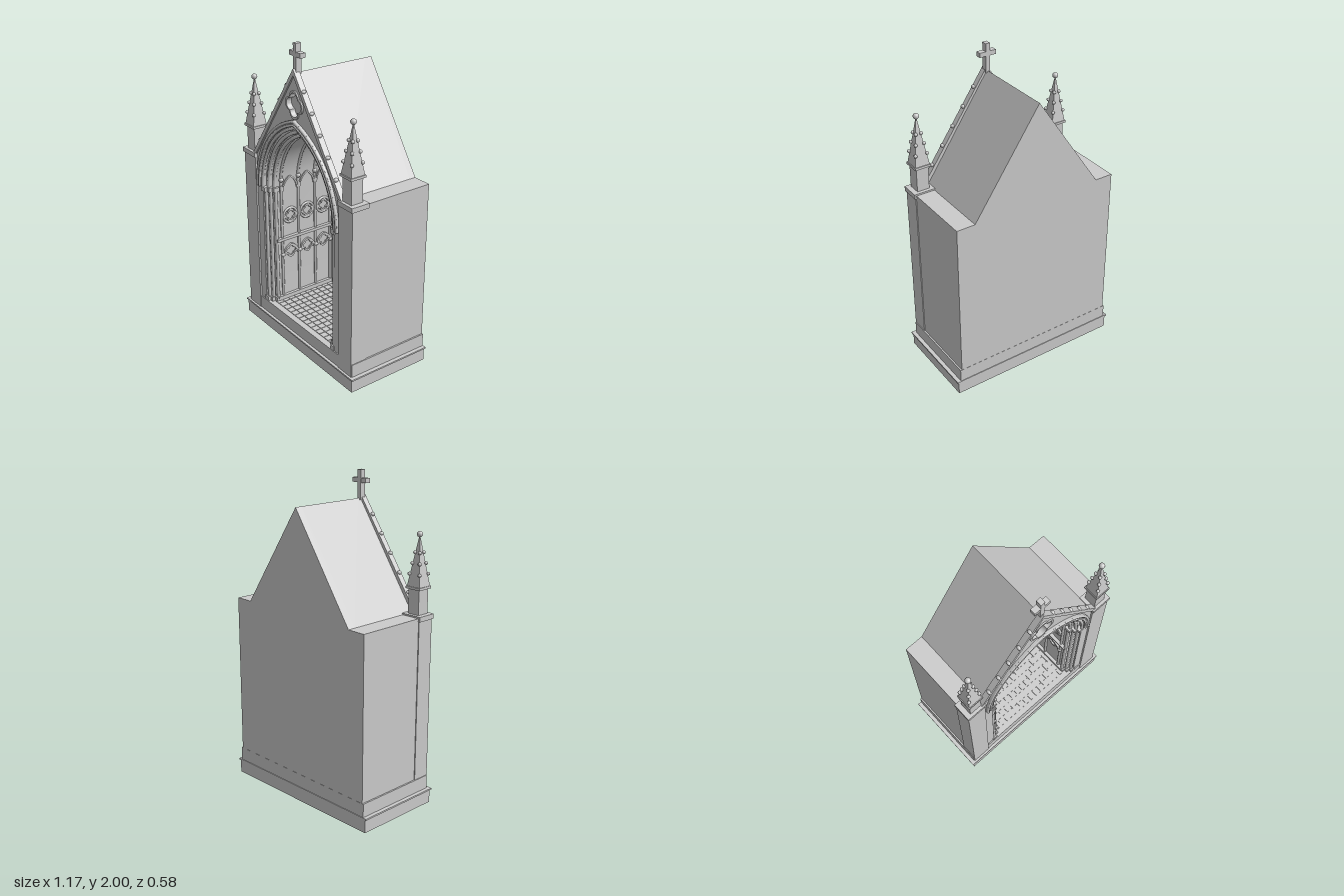
import * as THREE from 'three';
import { mergeGeometries, toCreasedNormals } from 'three/addons/utils/BufferGeometryUtils.js';

const mat = new THREE.MeshStandardMaterial({ color: 0xcccccc });
const V2 = (x, y) => new THREE.Vector2(x, y);
const SPRING = 1.0, C = 0.15, FLOOR = 0.18;

function add(parent, name, geo, x = 0, y = 0, z = 0) {
  const m = new THREE.Mesh(geo, mat);
  m.name = name;
  m.position.set(x, y, z);
  parent.add(m);
  return m;
}
// Box given by its extents
function block(parent, name, x0, x1, y0, y1, z0, z1) {
  const geo = new THREE.BoxGeometry(Math.abs(x1 - x0), y1 - y0, z1 - z0);
  return add(parent, name, geo, (x0 + x1) / 2, (y0 + y1) / 2, (z0 + z1) / 2);
}
// Flat shape (with holes) extruded between two depths
function slab(parent, name, pts, holes, z0, z1, x = 0, y = 0) {
  const shape = new THREE.Shape(pts);
  shape.holes = holes.map(h => new THREE.Path(h));
  const geo = new THREE.ExtrudeGeometry(shape, { depth: z1 - z0, bevelEnabled: false });
  return add(parent, name, toCreasedNormals(geo, 0.5), x, y, z0);
}
// Two-centred pointed arc, from the right springing over the apex to the left
function arc(a, c = C, spring = SPRING, n = 14) {
  const R = a + c, end = Math.acos(c / R), right = [];
  for (let i = 0; i <= n; i++) {
    const t = end * i / n;
    right.push(V2(-c + R * Math.cos(t), spring + R * Math.sin(t)));
  }
  return [...right, ...right.slice(0, -1).reverse().map(p => V2(-p.x, p.y))];
}
const archway = (a, y0, c, spring) => [V2(-a, y0), V2(a, y0), ...arc(a, c, spring)];
const archBand = (a0, a1, c, spring) => [...arc(a1, c, spring), ...arc(a0, c, spring).reverse()];
const rect = (x0, x1, y0, y1) => [V2(x0, y0), V2(x1, y0), V2(x1, y1), V2(x0, y1)];
const shift = (pts, x, y) => pts.map(p => V2(p.x + x, p.y + y));
// Four semicircular lobes; d is half the overall radius
function quatrefoil(d) {
  const pts = [];
  for (let k = 0; k < 4; k++) for (let i = 0; i < 12; i++) {
    const t = k * Math.PI / 2, u = t - Math.PI / 2 + Math.PI * i / 12;
    pts.push(V2(d * (Math.cos(t) + Math.cos(u)), d * (Math.sin(t) + Math.sin(u))));
  }
  return pts;
}
function roll(parent, name, a, z, r) {
  const path = new THREE.CatmullRomCurve3(arc(a).map(p => new THREE.Vector3(p.x, p.y, z)));
  add(parent, name, new THREE.TubeGeometry(path, 56, r, 8));
}
function shaft(parent, name, x, z, y0, y1, r) {
  add(parent, name, new THREE.CylinderGeometry(r, r, y1 - y0, 12), x, (y0 + y1) / 2, z);
}

function pinnacle(s) {
  const g = new THREE.Group();
  g.name = 'pinnacle';
  g.position.set(s * 0.49, 0, 0.225);
  block(g, 'pinnacleShaft', -0.04, 0.04, 1.2, 1.37, -0.04, 0.04);
  block(g, 'pinnacleCornice', -0.052, 0.052, 1.36, 1.375, -0.052, 0.052);
  const spire = new THREE.CylinderGeometry(0.004, 0.047 * Math.SQRT2, 0.285, 4).toNonIndexed();
  spire.rotateY(Math.PI / 4);
  spire.computeVertexNormals();
  add(g, 'spire', spire, 0, 1.5175, 0);
  add(g, 'finialBall', new THREE.SphereGeometry(0.018, 16, 12), 0, 1.677, 0);
  // Crockets climb the four spire edges
  for (const t of [0.25, 0.47, 0.69]) for (const i of [-1, 1]) for (const k of [-1, 1]) {
    const r = 0.047 * (1 - t) + 0.003;
    add(g, 'spireCrocket', new THREE.SphereGeometry(0.011, 10, 8), i * r, 1.375 + 0.285 * t, k * r);
  }
  return g;
}

// Blind tracery along one inner side wall, local x running along the wall
function sideTracery(s) {
  const g = new THREE.Group();
  g.name = 'sideTracery';
  g.position.x = s * 0.315;
  g.rotation.y = -s * Math.PI / 2;
  block(g, 'stringCourse', -0.215, 0.215, 0.615, 0.635, 0, 0.022);
  block(g, 'wallBench', -0.215, 0.215, FLOOR, 0.21, 0, 0.02);
  for (const z of [0.105, -0.025, -0.155]) {
    const x = z * s;
    slab(g, 'arcadeArch', archBand(0.045, 0.058, 0.02, 0.5), [], 0, 0.014, x);
    slab(g, 'arcadeCusps', shift(quatrefoil(0.024), 0, 0.525), [shift(quatrefoil(0.017), 0, 0.525)], 0, 0.01, x);
    add(g, 'medallionRing', new THREE.TorusGeometry(0.05, 0.008, 8, 32), x, 0.78, 0.004);
    slab(g, 'medallionFoil', quatrefoil(0.023), [quatrefoil(0.016)], 0, 0.012, x, 0.78);
    slab(g, 'upperBlindArch', archBand(0.05, 0.06, 0.05, 0.96), [], -0.012, 0.01, x);
  }
  for (const z of [0.17, 0.04, -0.09, -0.21]) {
    const x = z * s;
    shaft(g, 'wallShaft', x, 0.004, FLOOR, SPRING, 0.009);
    add(g, 'arcadeCapital', new THREE.SphereGeometry(0.014, 12, 8), x, 0.51, 0.008);
    add(g, 'ribCapital', new THREE.SphereGeometry(0.016, 12, 8), x, 1.04, 0.006);
  }
  return g;
}

export function createModel() {
  const model = new THREE.Group();
  model.name = 'gothicPorch';

  // Plinth
  block(model, 'base', -0.575, 0.575, 0, 0.085, -0.285, 0.285);
  block(model, 'baseLip', -0.585, 0.585, 0.085, 0.095, -0.29, 0.29);
  block(model, 'plinth', -0.56, 0.56, 0.095, FLOOR, -0.286, 0.272);

  // Hollow body with steep roof, closed at the back
  const house = [V2(-0.55, 0.1), V2(0.55, 0.1), V2(0.55, 1.2), V2(0.43, 1.2), V2(0, 1.83), V2(-0.43, 1.2), V2(-0.55, 1.2)];
  const gable = [V2(-0.44, 0.1), V2(0.44, 0.1), V2(0.44, 1.2), V2(0, 1.84), V2(-0.44, 1.2)];
  const gableFoil = shift(quatrefoil(0.036), 0, 1.64);
  slab(model, 'backWall', house, [], -0.285, -0.24);
  slab(model, 'wallsAndRoof', house, [archway(0.315, 0.17)], -0.24, 0.215);
  slab(model, 'innerFrontWall', house, [archway(0.34, 0.17)], 0.215, 0.24);
  slab(model, 'gableFront', gable, [archway(0.37, 0.17), gableFoil], 0.24, 0.265);
  slab(model, 'gableFoilFrame', quatrefoil(0.043), [quatrefoil(0.036)], 0.26, 0.274, 0, 1.64);

  // Arch orders
  slab(model, 'archHood', archBand(0.385, 0.42), [], 0.26, 0.28);
  for (const [a, z, r] of [[0.318, 0.215, 0.011], [0.343, 0.24, 0.011], [0.37, 0.265, 0.01], [0.39, 0.277, 0.008], [0.411, 0.278, 0.009]])
    roll(model, 'archRoll', a, z, r);

  for (const s of [-1, 1]) {
    // Jamb shafts on the stepped reveal
    for (const [x, z] of [[0.313, 0.21], [0.335, 0.232], [0.358, 0.25]]) {
      shaft(model, 'jambShaft', s * x, z, FLOOR, 0.98, 0.012);
      block(model, 'jambCapital', s * (x - 0.016), s * (x + 0.024), 0.97, 1.0, z - 0.02, z + 0.022);
      block(model, 'jambBase', s * (x - 0.015), s * (x + 0.022), FLOOR, 0.21, z - 0.02, z + 0.02);
    }
    // Corner buttress and pinnacle
    block(model, 'buttress', s * 0.43, s * 0.555, 0.095, 1.185, 0.165, 0.276);
    block(model, 'buttressCap', s * 0.425, s * 0.562, 1.18, 1.21, 0.162, 0.284);
    model.add(pinnacle(s));
    // Crockets on the gable slope
    for (let i = 0; i < 5; i++) {
      const x = 0.08 + 0.075 * i;
      const c = add(model, 'gableCrocket', new THREE.SphereGeometry(0.012, 12, 8), s * (x + 0.003), 1.853 - x * 1.43, 0.26);
      c.scale.z = 1.3;
    }
    model.add(sideTracery(s));
  }

  // Gable coping and cross
  slab(model, 'gableCoping', [V2(-0.455, 1.205), V2(-0.425, 1.205), V2(0, 1.815), V2(0.425, 1.205), V2(0.455, 1.205), V2(0, 1.855)].reverse(), [], 0.238, 0.275);
  block(model, 'crossUpright', -0.014, 0.014, 1.82, 2, 0.225, 0.262);
  block(model, 'crossArm', -0.055, 0.055, 1.923, 1.951, 0.2255, 0.2615);

  // Inner screen: twin lancets, foiled light and panelled door
  const lancet = t => archway(0.11 + t, 0.775 - t, 0.127, 1.0);
  const lancets = [-0.15, 0.15].map(x => shift(lancet(0), x, 0));
  const panels = [[-0.27, -0.1], [-0.075, 0.075], [0.1, 0.27]].map(([a, b]) => rect(a, b, 0.245, 0.705));
  slab(model, 'innerScreen', archway(0.318, 0.17), [...lancets, shift(quatrefoil(0.05), 0, 1.31), ...panels], -0.242, -0.22);
  for (const x of [-0.15, 0.15]) slab(model, 'lancetFrame', lancet(0.01), [lancet(-0.006)], -0.23, -0.208, x);
  slab(model, 'foilFrame', quatrefoil(0.057), [quatrefoil(0.049)], -0.23, -0.208, 0, 1.31);
  block(model, 'transom', -0.29, 0.29, 0.73, 0.75, -0.225, -0.2);

  // Vault ribs
  for (const z of [0.17, 0.04, -0.09, -0.21]) roll(model, 'vaultRib', 0.315, z, 0.01);
  block(model, 'ridgeRib', -0.009, 0.009, 1.425, 1.445, -0.22, 0.215);

  // Tiled floor
  const tiles = [];
  for (let i = 0; i < 14; i++) for (let k = 0; k < 10; k++)
    tiles.push(new THREE.BoxGeometry(0.041, 0.008, 0.041).translate((i - 6.5) * 0.045, FLOOR, (k - 4.5) * 0.045 + 0.01));
  add(model, 'floorTiles', mergeGeometries(tiles));

  return model;
}
